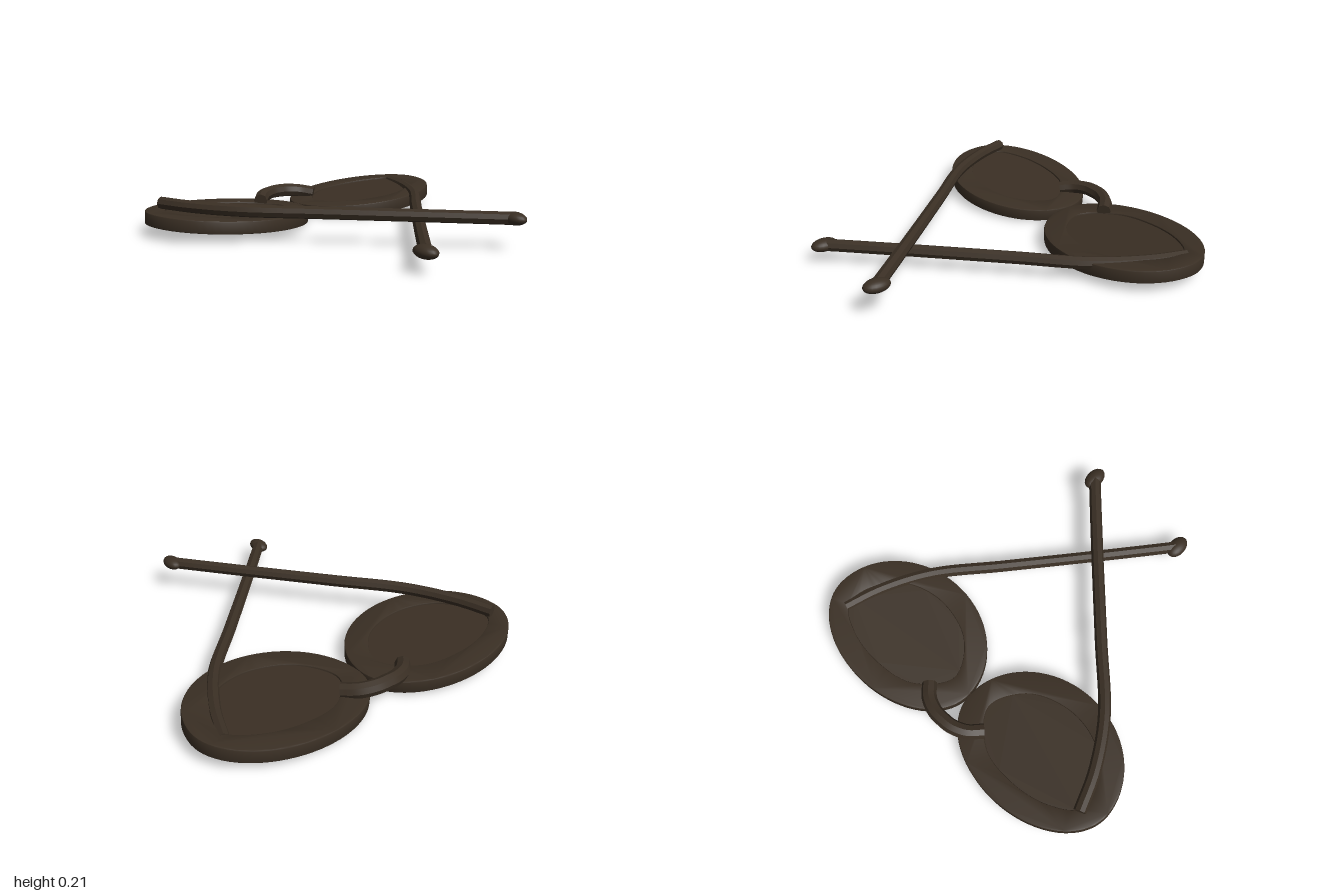
import * as THREE from 'three';
import { toCreasedNormals } from 'three/addons/utils/BufferGeometryUtils.js';

const TILT = 0.07; // outer edges of the rims sit higher than the inner ones

// Faceted tube through points, closed by a flat cap at each end
function cappedTube(points, radius, segments, sides = 8) {
  const curve = new THREE.CatmullRomCurve3(points.map((p) => new THREE.Vector3(...p)));
  const tube = new THREE.TubeGeometry(curve, segments, radius, sides);
  const position = [...tube.attributes.position.array];
  const index = [...tube.index.array];
  const startCentre = position.length / 3;
  position.push(...curve.getPoint(0).toArray(), ...curve.getPoint(1).toArray());
  const lastRing = segments * (sides + 1);
  for (let i = 0; i < sides; i++) {
    index.push(i, i + 1, startCentre);
    index.push(lastRing + i + 1, lastRing + i, startCentre + 1);
  }
  const geometry = new THREE.BufferGeometry();
  geometry.setAttribute('position', new THREE.Float32BufferAttribute(position, 3));
  geometry.setIndex(index);
  return toCreasedNormals(geometry, 0.5);
}

// Egg-shaped outer outline, fuller towards the front
function rimOutline() {
  const points = [];
  for (let i = 0; i < 72; i++) {
    const a = (i / 72) * Math.PI * 2;
    const s = Math.sin(a);
    points.push(new THREE.Vector2(0.498 * Math.cos(a), s * (s > 0 ? 0.337 : 0.428)));
  }
  return points;
}

// Lens outline, drawn out towards the hinge corner
function lensOutline(side) {
  const knots = [
    [0.37, 0.07], [0.22, 0.17], [0, 0.205], [-0.22, 0.16], [-0.37, -0.02],
    [-0.25, -0.22], [0, -0.295], [0.22, -0.235], [0.34, -0.1],
  ].map(([x, y]) => new THREE.Vector3(x * side, y, 0));
  return new THREE.CatmullRomCurve3(knots, true).getPoints(64).slice(0, -1)
    .map((p) => new THREE.Vector2(p.x, p.y));
}

// Plate lying flat, its underside at height bottom
function plate(shape, bottom, height, bevel) {
  const geometry = new THREE.ExtrudeGeometry(shape, {
    depth: height - 2 * bevel,
    bevelEnabled: bevel > 0,
    bevelThickness: bevel,
    bevelSize: bevel,
    bevelOffset: -bevel,
    bevelSegments: 2,
  });
  geometry.translate(0, 0, bottom + bevel);
  geometry.rotateX(-Math.PI / 2);
  return toCreasedNormals(geometry, 0.6);
}

export function createModel() {
  const model = new THREE.Group();
  model.name = 'foldedGlasses';
  const darkBrown = new THREE.MeshStandardMaterial({ color: 0x3a2f24 });
  darkBrown.name = 'darkBrown';

  const add = (parent, name, geometry) => {
    const mesh = new THREE.Mesh(geometry, darkBrown);
    mesh.name = name;
    parent.add(mesh);
    return mesh;
  };

  for (const side of [1, -1]) {
    const label = side > 0 ? 'left' : 'right';

    // Rim with a recessed lens, tilted as one piece
    const eyepiece = new THREE.Group();
    eyepiece.name = label + 'Eyepiece';
    eyepiece.position.set(0.5 * side, 0.072, -0.6);
    eyepiece.rotation.z = TILT * side;
    const rim = new THREE.Shape(rimOutline());
    rim.holes.push(new THREE.Path(lensOutline(side)));
    add(eyepiece, label + 'Rim', plate(rim, -0.036, 0.072, 0.006));
    add(eyepiece, label + 'Lens', plate(new THREE.Shape(lensOutline(side)), -0.01, 0.036, 0));
    model.add(eyepiece);

    // Folded arm, the right one crossing above the left
    const y = side > 0 ? 0.108 : 0.174;
    const path = [
      [0.875, -0.69], [0.8, -0.48], [0.65, -0.22], [0.37, 0.09],
      [0, 0.5], [-0.28, 0.815], [-0.31, 0.85],
    ].map(([x, z]) => [x * side, y, z]);
    add(model, label + 'Arm', cappedTube(path, 0.035, 40));

    // Rounded arm tip
    const tip = add(model, label + 'ArmTip', new THREE.SphereGeometry(1, 20, 14));
    tip.scale.set(0.048, 0.035, 0.074);
    tip.position.set(-0.32 * side, y, 0.86);
  }

  // Arched nose bridge
  add(model, 'bridge', cappedTube([
    [-0.205, 0.098, -0.7], [-0.14, 0.112, -0.765], [-0.06, 0.121, -0.798], [0, 0.123, -0.802],
    [0.06, 0.121, -0.798], [0.14, 0.112, -0.765], [0.205, 0.098, -0.7],
  ], 0.042, 28));

  return model;
}
